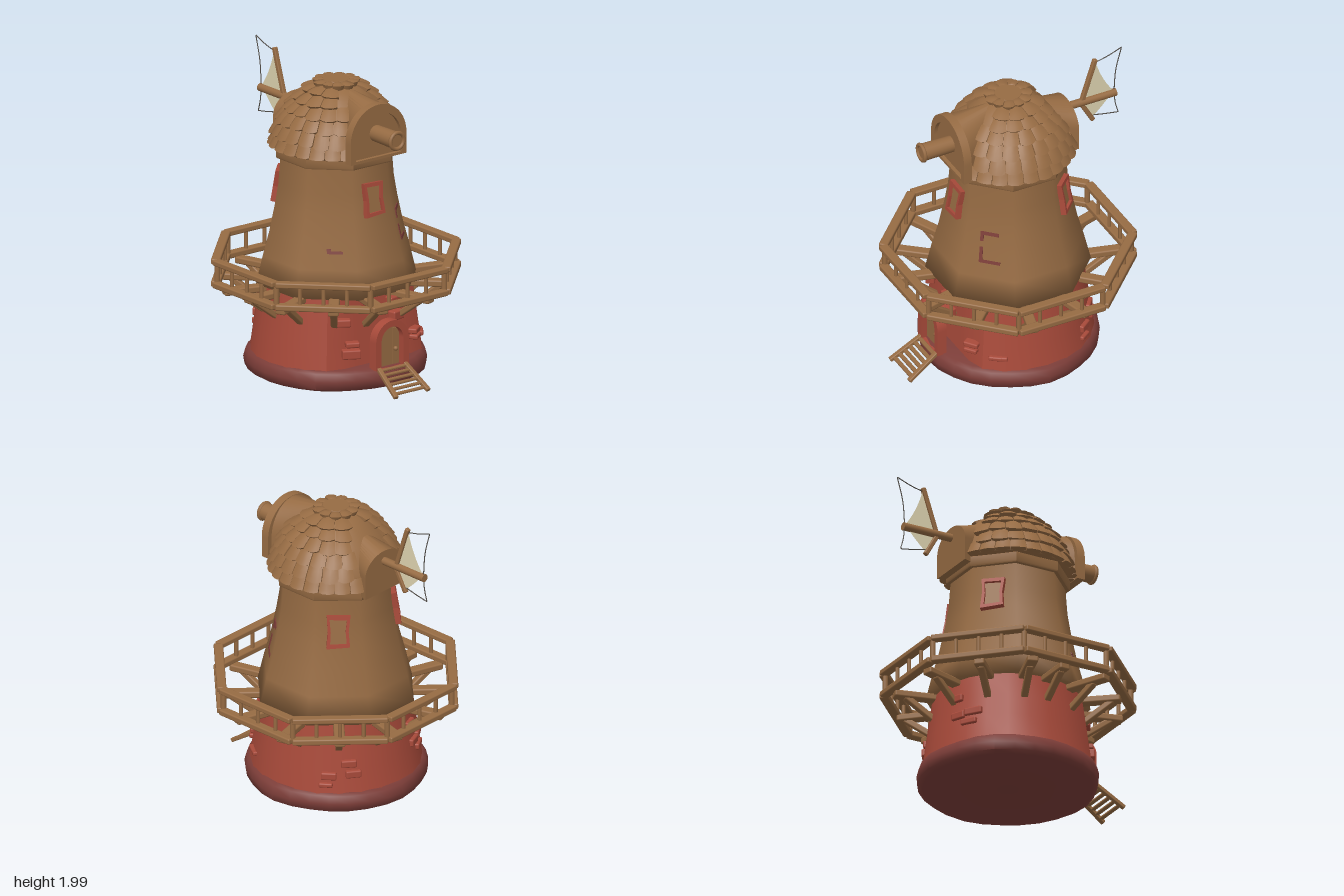
import * as THREE from 'three';
import { mergeGeometries, toCreasedNormals } from 'three/addons/utils/BufferGeometryUtils.js';
import { RoundedBoxGeometry } from 'three/addons/geometries/RoundedBoxGeometry.js';

const V = (x, y, z) => new THREE.Vector3(x, y, z);
const P2 = (x, y) => new THREE.Vector2(x, y);
const rad = THREE.MathUtils.degToRad;
const polar = (deg, r, y) => V(r * Math.sin(rad(deg)), y, r * Math.cos(rad(deg)));

function material(name, color, side = THREE.FrontSide) {
  const m = new THREE.MeshStandardMaterial({ color, side });
  m.name = name;
  return m;
}

export function createModel() {
  const wood = material('wood', 0x966b43);
  const brick = material('brick red', 0xa84a3a);
  const stone = material('dark red stone', 0x7c3d38);
  const cloth = material('sail cloth', 0xddd3b0, THREE.DoubleSide);
  const wire = material('sail cord', 0x55504a);

  const root = new THREE.Group();
  root.name = 'windmill';
  const core = new THREE.Group();
  core.name = 'tower';
  core.position.z = 0.015;
  root.add(core);

  let seed = 7;
  const rnd = () => ((seed = (seed * 16807) % 2147483647) / 2147483647) - 0.5;

  function add(parent, name, geo, mat) {
    const m = new THREE.Mesh(geo, mat);
    m.name = name;
    parent.add(m);
    return m;
  }
  // Moves every vertex by a rule
  function warp(geo, rule) {
    const p = geo.attributes.position, v = V(0, 0, 0);
    for (let i = 0; i < p.count; i++) {
      v.fromBufferAttribute(p, i);
      rule(v);
      p.setXYZ(i, v.x, v.y, v.z);
    }
    geo.computeVertexNormals();
    return geo;
  }
  // Rounded bar from a to b: w across, h in height
  function bar(a, b, w, h) {
    const geo = new RoundedBoxGeometry(w, h, a.distanceTo(b), 2, Math.min(w, h) * 0.25);
    const o = new THREE.Object3D();
    o.position.copy(a).add(b).multiplyScalar(0.5);
    o.lookAt(b);
    o.updateMatrix();
    return geo.applyMatrix4(o.matrix);
  }
  const lathe = (pts, n, start = 0) => new THREE.LatheGeometry(pts.map(p => P2(...p)), n, start);
  function arch(w, y0, yc, ry, T = THREE.Shape) {
    const s = new T();
    s.moveTo(-w, y0);
    s.lineTo(w, y0);
    s.lineTo(w, yc);
    s.absellipse(0, yc, w, ry, 0, Math.PI, false, 0);
    s.closePath();
    return s;
  }
  const extrude = (s, depth) => new THREE.ExtrudeGeometry(s, { depth, bevelEnabled: false, curveSegments: 16 });
  const crease = (g, a = 0.7) => toCreasedNormals(g, a);

  // Stone footing, slightly uneven
  const footing = lathe([[0, 0.012], [0.54, 0.012], [0.57, 0.03], [0.578, 0.08], [0.565, 0.13], [0.54, 0.147], [0.3, 0.147]], 28);
  warp(footing, v => {
    const a = Math.atan2(v.x, v.z), k = 1 + 0.009 * Math.sin(5 * a) + 0.006 * Math.cos(8 * a);
    v.x *= k; v.z *= k;
  });
  add(core, 'footing', crease(footing, 0.9), stone);

  // Brick storey with a flat front
  const wallR = y => 0.545 - (y - 0.14) * 0.14;
  const wall = lathe([0.12, 0.3, 0.45, 0.62].map(y => [wallR(y), y]), 24);
  warp(wall, v => { v.z = Math.min(v.z, 0.42 - (v.y - 0.15) * 0.1); });
  add(core, 'brickWall', crease(wall, 0.5), brick);

  // Loose bricks: angle, height, width, thickness
  const bricks = [
    [-27, 0.31, 0.09, 0.035], [-28, 0.25, 0.12, 0.06], [36, 0.295, 0.1, 0.035], [36, 0.255, 0.09, 0.03],
    [54, 0.23, 0.09, 0.03], [12, 0.45, 0.1, 0.06], [10, 0.55, 0.09, 0.05], [57, 0.23, 0.1, 0.03],
    [-145, 0.34, 0.12, 0.05], [-157, 0.33, 0.1, 0.05], [-148, 0.27, 0.11, 0.04], [142, 0.34, 0.1, 0.05],
    [128, 0.26, 0.1, 0.05], [126, 0.2, 0.09, 0.03], [145, 0.27, 0.1, 0.05], [-33, 0.45, 0.09, 0.05], [-160, 0.46, 0.1, 0.05],
  ].map(([a, y, w, h]) => {
    const p = polar(a, wallR(y) - 0.012, y);
    return new RoundedBoxGeometry(w, h, 0.06, 2, 0.01).rotateY(rad(a)).translate(p.x, p.y, p.z);
  });
  add(core, 'looseBricks', mergeGeometries(bricks), brick);

  // Eight-sided upper tower and collar; values are flat-to-centre distances
  const oct = 1 / Math.cos(Math.PI / 8);
  const profile = [[0.485, 0.6], [0.445, 0.78], [0.405, 0.94], [0.37, 1.12], [0.35, 1.25], [0.337, 1.43]];
  add(core, 'upperTower', lathe([[0.3, 0.6], ...profile].map(([r, y]) => [r * oct, y]), 8, Math.PI / 8), wood);
  const collar = lathe([[0.33, 1.42], [0.36, 1.42], [0.365, 1.43], [0.365, 1.485], [0.35, 1.5], [0, 1.5]].map(([r, y]) => [r * oct, y]), 8, Math.PI / 8);
  add(core, 'collar', crease(collar, 0.5), wood);

  // Pinched window frames leaning with the wall
  for (const a of [0, 135, -135]) {
    const w = new THREE.Group();
    w.name = 'window';
    const s = new THREE.Shape([P2(-0.075, -0.11), P2(0.075, -0.1), P2(0.066, 0), P2(0.078, 0.105), P2(-0.072, 0.11), P2(-0.066, 0)]);
    s.holes.push(new THREE.Path([P2(-0.052, -0.085), P2(-0.047, 0), P2(-0.054, 0.085), P2(0.056, 0.08), P2(0.047, 0), P2(0.054, -0.08)]));
    add(w, 'windowFrame', extrude(s, 0.045).translate(0, 0, -0.02), brick);
    add(w, 'windowPane', new THREE.BoxGeometry(0.12, 0.18, 0.009).translate(0, 0, 0.002), wood);
    w.position.copy(polar(a, 0.368, 1.205));
    w.rotation.set(-0.16, rad(a), 0, 'YXZ');
    core.add(w);
  }

  // Brick slivers showing through the plaster: angle, x, y, width, height, radius
  for (const [a, x, y, w, h, r] of [
    [45, 0, 1.075, 0.12, 0.022, 0.381], [45, -0.05, 1.045, 0.022, 0.05, 0.386], [45, -0.05, 0.93, 0.022, 0.1, 0.409],
    [45, 0.01, 0.885, 0.14, 0.02, 0.419], [-45, 0.04, 0.89, 0.1, 0.018, 0.418], [-45, 0, 0.905, 0.03, 0.015, 0.415]]) {
    const m = add(core, 'exposedBrick', new THREE.BoxGeometry(w, h, 0.009).translate(x, 0, 0), stone);
    m.position.copy(polar(a, r, y));
    m.rotation.set(-0.22, rad(a), 0, 'YXZ');
  }

  // Eight-sided gallery: rails and balusters
  const rails = [], posts = [];
  for (let i = 0; i < 8; i++) {
    const a = 22.5 + 45 * i, R = 0.72 * oct;
    for (const [y, w, h] of [[0.768, 0.06, 0.036], [0.62, 0.06, 0.04]])
      rails.push(bar(polar(a, R + 0.012, y), polar(a + 45, R + 0.012, y), w, h));
    for (let k = 0; k < 4; k++) {
      const p = polar(a, R, 0).lerp(polar(a + 45, R, 0), k / 4);
      const r = k ? 0.013 : 0.018;
      posts.push(new THREE.CylinderGeometry(r, r, 0.15, 8).translate(p.x, 0.695, p.z));
    }
  }
  add(core, 'galleryRails', mergeGeometries(rails), wood);
  add(core, 'balusters', mergeGeometries(posts), wood);

  // Radial floor beams with slanting struts
  const beams = [];
  for (const a of [15, 45, 75, 105, 135, 165, -15, -40, -66, -90, -108, -135, -163]) {
    const off = Math.abs(((a + 382.5) % 45) - 22.5);
    const R = 0.72 / Math.cos(rad(off));
    beams.push(bar(polar(a, 0.36, 0.585), polar(a, R, 0.585), 0.07, 0.045));
    beams.push(bar(polar(a, 0.46, 0.42), polar(a, 0.67, 0.575), 0.045, 0.04));
  }
  add(core, 'galleryBeams', mergeGeometries(beams), wood);

  // Dome shell and overlapping shingles, leaving room for the hoods
  const curve = new THREE.SplineCurve([[0.405, 1.49], [0.378, 1.59], [0.325, 1.7], [0.25, 1.79], [0.17, 1.86], [0.075, 1.9]].map(p => P2(...p)));
  const shell = curve.getPoints(16);
  add(core, 'domeShell', new THREE.LatheGeometry([P2(0.3, 1.48), ...shell, P2(0, 1.905)], 32), wood);
  const frontK = z => THREE.MathUtils.mapLinear(z, 0.1, 0.44, 0.3, 1);
  const backK = z => THREE.MathUtils.mapLinear(-z, 0.1, 0.4, 0.35, 1);
  const tiles = [], rows = 7;
  for (let i = 0; i < rows; i++) {
    const t0 = i / rows, mid = curve.getPoint(t0 + 0.5 / rows);
    const n = Math.max(11, Math.round(2 * Math.PI * mid.x / 0.098));
    for (let j = 0; j < n; j++) {
      const a0 = (j + (i % 2) / 2) / n * Math.PI * 2;
      const x = Math.abs(mid.x * Math.sin(a0)), z = mid.x * Math.cos(a0);
      if ((z > 0.12 && x < 0.215 * frontK(z)) || (z < -0.12 && x < 0.165 * backK(z))) continue;
      const drop = rnd() * 0.022, lift = rnd() * 0.008, tilt = rnd() * 0.02;
      const g = new THREE.BoxGeometry(1, 1, 1, 4, 3, 1);
      warp(g, v => {
        const up = v.y + 0.5, edge = Math.pow(Math.abs(v.x) * 2, 3);
        const t = THREE.MathUtils.clamp(t0 + drop + tilt * v.x + (up * 1.25 + (1 - up) * 0.14 * edge) / rows, 0, 1);
        const p = curve.getPoint(t), d = curve.getTangent(t);
        const out = (v.z > 0 ? 0.034 + lift - 0.008 * edge : 0.0) - 0.022 * up;
        const r = p.x + d.y * out, a = a0 + v.x * 0.96 * Math.PI * 2 / n;
        v.set(r * Math.sin(a), p.y - d.x * out, r * Math.cos(a));
      });
      tiles.push(crease(g, 0.8));
    }
  }
  add(core, 'shingles', mergeGeometries(tiles), wood);
  add(core, 'roofCap', new THREE.CylinderGeometry(0.085, 0.1, 0.03, 20).translate(0, 1.9, 0), wood);

  // Front hood: tapered body, raised arched rim and shaft stub
  const frontHood = warp(extrude(arch(0.215, 1.485, 1.62, 0.215), 0.32).translate(0, 0, 0.1), v => {
    v.x *= frontK(v.z);
    v.y = 1.485 + (v.y - 1.485) * (1 + 0.4 * (0.44 - v.z));
  });
  add(root, 'frontHood', crease(frontHood), wood);
  const rim = arch(0.225, 1.482, 1.62, 0.225);
  rim.holes.push(arch(0.183, 1.5, 1.61, 0.18, THREE.Path));
  add(root, 'frontHoodRim', crease(extrude(rim, 0.055).translate(0, 0, 0.39)), wood);
  const rod = (r1, r0, z0, z1, y) => new THREE.CylinderGeometry(r1, r0, z1 - z0, 20).rotateX(Math.PI / 2).translate(0, y, (z0 + z1) / 2);
  add(root, 'frontShaft', rod(0.057, 0.053, 0.38, 0.63, 1.65), wood);
  add(root, 'frontShaftRing', new THREE.TorusGeometry(0.053, 0.013, 8, 24).translate(0, 1.65, 0.63), wood);

  // Back hood with a rising top
  const backHood = warp(extrude(arch(0.175, 1.45, 1.6, 0.135), 0.3).translate(0, 0, -0.4), v => {
    v.x *= backK(v.z);
    v.y = 1.45 + (v.y - 1.45) * (1 + 1.8 * (v.z + 0.4) * Math.max(0, 1 - 1.3 * (v.z + 0.4)));
  });
  add(root, 'backHood', crease(backHood), wood);
  add(root, 'backShaft', rod(0.026, 0.026, -0.75, -0.3, 1.665), wood);

  // Spars, cloth and cords of the sail
  add(root, 'upperSpar', bar(V(0, 1.66, -0.505), V(0, 1.965, -0.605), 0.03, 0.03), wood);
  add(root, 'lowerSpar', bar(V(0, 1.67, -0.495), V(0, 1.505, -0.588), 0.03, 0.03), wood);
  const sail = new THREE.Shape();
  sail.moveTo(0.61, 1.935);
  sail.quadraticCurveTo(0.65, 1.79, 0.735, 1.68);
  sail.quadraticCurveTo(0.66, 1.59, 0.59, 1.53);
  sail.lineTo(0.5, 1.665);
  sail.closePath();
  add(root, 'sail', new THREE.ShapeGeometry(sail).rotateY(Math.PI / 2), cloth);
  const cord = pts => new THREE.TubeGeometry(new THREE.CatmullRomCurve3(pts.map(([z, y]) => V(0, y, z))), 12, 0.0035, 5);
  add(root, 'sailCords', mergeGeometries([
    cord([[-0.605, 1.94], [-0.69, 1.96], [-0.792, 1.997]]),
    cord([[-0.792, 1.997], [-0.752, 1.84], [-0.738, 1.67]]),
    cord([[-0.738, 1.67], [-0.748, 1.58], [-0.768, 1.505]]),
    cord([[-0.768, 1.505], [-0.68, 1.52], [-0.588, 1.54]]),
  ]), wire);

  // Arched doorway, planks and knob
  const jamb = arch(0.132, 0.14, 0.32, 0.132);
  jamb.holes.push(arch(0.088, 0.141, 0.32, 0.09, THREE.Path));
  add(root, 'doorFrame', crease(extrude(jamb, 0.065).translate(0, 0, 0.52)), brick);
  for (let i = -1; i <= 1; i++) {
    const x = i * 0.058, top = i ? 0.385 : 0.41;
    add(root, 'doorPlank', new THREE.BoxGeometry(0.056, top - 0.14, 0.02).translate(x, (top + 0.14) / 2, 0.535), wood);
  }
  add(root, 'doorBacking', extrude(arch(0.1, 0.14, 0.32, 0.1), 0.02).translate(0, 0, 0.52), wood);
  add(root, 'doorKnob', new THREE.SphereGeometry(0.015, 12, 8).translate(0.05, 0.25, 0.555), wood);

  // Entrance ladder
  const ladder = [];
  for (const s of [-1, 1]) ladder.push(bar(V(s * 0.105, 0.15, 0.575), V(s * 0.13, 0.014, 0.787), 0.032, 0.026));
  for (let i = 0; i < 6; i++) {
    const t = (i + 0.4) / 6, y = 0.148 - 0.13 * t, z = 0.58 + 0.2 * t;
    ladder.push(new RoundedBoxGeometry(0.21 + 0.04 * t, 0.014, 0.028, 2, 0.004).translate(0, y, z));
  }
  add(root, 'ladder', mergeGeometries(ladder), wood);

  return root;
}
